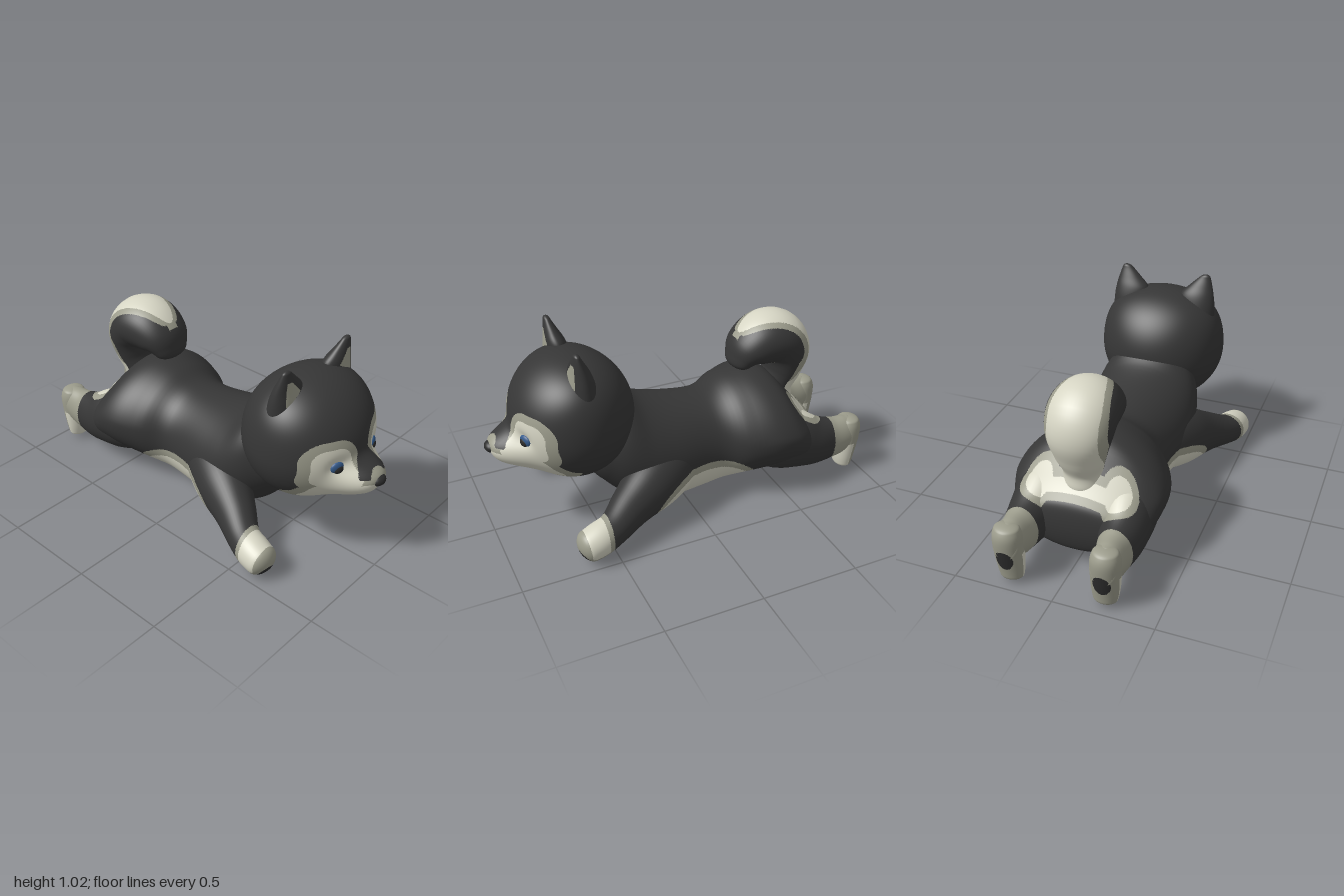
import * as THREE from 'three';
import { mergeVertices } from 'three/addons/utils/BufferGeometryUtils.js';

const flat = (name, color) => Object.assign(new THREE.MeshStandardMaterial({ color }), { name });
const coat = flat('charcoal coat', 0x363636);
const cream = flat('cream fur', 0xd6d5c4);
const grey = flat('grey fur edge', 0x9c9c8c);
const blue = flat('blue iris', 0x355a8a);
const black = flat('black nose and pads', 0x2c2c2c);
const palette = [coat, cream, grey, black];
const COAT = 0, CREAM = 1, GREY = 2, BLACK = 3;

// Sweeps an ellipse along a spline; each row is [x, y, z, half width, half depth].
// A fixed axis keeps all sections parallel.
function loft(rows, rings, sides, axis) {
  const path = new THREE.CatmullRomCurve3(rows.map(r => new THREE.Vector3(r[0], r[1], r[2])), false, 'catmullrom');
  const size = new THREE.CatmullRomCurve3(rows.map(r => new THREE.Vector3(r[3], r[4], 0)), false, 'catmullrom');
  const pos = [], index = [];
  for (let i = 0; i <= rings; i++) {
    const t = 0.5 - 0.5 * Math.cos(Math.PI * i / rings);
    const p = path.getPoint(t), r = size.getPoint(t), T = axis ?? path.getTangent(t);
    const S = new THREE.Vector3(1, 0, 0).addScaledVector(T, -T.x).normalize();
    const U = T.clone().cross(S);
    const e = Math.min(1, Math.min(t, 1 - t) / 0.08);
    const k = Math.sqrt(Math.max(0, 1 - (1 - e) ** 2)) + 1e-5;
    for (let j = 0; j < sides; j++) {
      const a = 2 * Math.PI * j / sides;
      const v = p.clone()
        .addScaledVector(S, Math.cos(a) * Math.max(r.x, 0) * k)
        .addScaledVector(U, Math.sin(a) * Math.max(r.y, 0) * k);
      pos.push(v.x, v.y, v.z);
      if (i < rings) {
        const A = i * sides + j, B = i * sides + (j + 1) % sides;
        index.push(A, B, A + sides, B, B + sides, A + sides);
      }
    }
  }
  const g = new THREE.BufferGeometry();
  g.setAttribute('position', new THREE.Float32BufferAttribute(pos, 3));
  g.setIndex(index);
  g.computeVertexNormals();
  return g;
}

// Sorts the triangles into one group per colour; rule(point, normal) returns a palette slot.
// Triangles on a colour border are split twice so the border stays smooth.
function painted(name, g, rule) {
  const bins = palette.map(() => ({ p: [], n: [] }));
  const corner = i => {
    const p = new THREE.Vector3().fromBufferAttribute(g.attributes.position, i);
    const n = new THREE.Vector3().fromBufferAttribute(g.attributes.normal, i);
    return { p, n, slot: rule(p, n) };
  };
  const middle = (...c) => {
    const p = new THREE.Vector3(), n = new THREE.Vector3();
    c.forEach(v => { p.addScaledVector(v.p, 1 / c.length); n.add(v.n); });
    n.normalize();
    return { p, n, slot: rule(p, n) };
  };
  const add = (a, b, c, depth) => {
    const same = a.slot === b.slot && b.slot === c.slot;
    if (!same && depth > 0) {
      const ab = middle(a, b), bc = middle(b, c), ca = middle(c, a);
      [[a, ab, ca], [ab, b, bc], [ca, bc, c], [ab, bc, ca]].forEach(t => add(...t, depth - 1));
      return;
    }
    const bin = bins[same ? a.slot : middle(a, b, c).slot];
    [a, b, c].forEach(v => { bin.p.push(...v.p.toArray()); bin.n.push(...v.n.toArray()); });
  };
  const idx = g.index.array;
  for (let i = 0; i < idx.length; i += 3) add(corner(idx[i]), corner(idx[i + 1]), corner(idx[i + 2]), 2);
  const out = new THREE.BufferGeometry();
  out.setAttribute('position', new THREE.Float32BufferAttribute(bins.flatMap(b => b.p), 3));
  out.setAttribute('normal', new THREE.Float32BufferAttribute(bins.flatMap(b => b.n), 3));
  let start = 0;
  bins.forEach(({ p }, m) => { if (p.length) out.addGroup(start, p.length / 3, m); start += p.length / 3; });
  const mesh = new THREE.Mesh(out, palette);
  mesh.name = name;
  return mesh;
}

// Signed distance to a rounded rectangle
function roundBox(x, y, cx, cy, hx, hy, r) {
  const dx = Math.abs(x - cx) - hx + r, dy = Math.abs(y - cy) - hy + r;
  return Math.hypot(Math.max(dx, 0), Math.max(dy, 0)) + Math.min(Math.max(dx, dy), 0) - r;
}
const bump = (x, y, sx, sy, power) => Math.exp(-(((x / sx) ** 2 + (y / sy) ** 2) ** power));

// Head: a sphere pulled out into a blunt muzzle, with shallow eye sockets and a broad crown
function makeHead() {
  let g = new THREE.SphereGeometry(1, 132, 92);
  g.deleteAttribute('uv');
  g.deleteAttribute('normal');
  g = mergeVertices(g);
  const P = g.attributes.position;
  for (let i = 0; i < P.count; i++) {
    const y = 0.6 + P.getY(i) * 0.32;
    const x = P.getX(i) * 0.338 * (1 + 0.25 * Math.max(0, P.getY(i)) ** 2);
    const fade = Math.min(1, Math.max(0, P.getZ(i) * 2));
    const z = 0.56 + P.getZ(i) * 0.31 + fade * (0.13 * bump(x, y - 0.475, 0.145, 0.1, 1.7)
      - 0.02 * bump(Math.abs(x) - 0.138, y - 0.58, 0.045, 0.04, 1));
    P.setXYZ(i, x, y, z);
  }
  g.computeVertexNormals();
  return painted('head', g, ({ x, y, z }) => {
    const ax = Math.abs(x), spot = Math.hypot(x, y - 0.5);
    if (z < 0.6) return COAT;
    const d = Math.min(roundBox(ax, y, 0.165, 0.58, 0.125, 0.137, 0.1),
      roundBox(ax, y, 0.125, 0.43, 0.14, 0.108, 0.09), roundBox(ax, y, 0, 0.44, 0.12, 0.1, 0.04));
    const bridge = y > 0.525 && ax < 0.035 + 0.6 * Math.max(0, 0.63 - y) && spot > 0.06;
    if (d > 0 && spot > 0.06 || bridge) return COAT;
    return d > -0.038 || (spot < 0.06 && y > 0.5) ? GREY : CREAM;
  });
}

// Markings shared by the body and the tops of the legs
function bodyMarks({ x, y, z }) {
  const ax = Math.abs(x);
  // rump patch below the tail
  const lobe = Math.min(Math.hypot(ax - 0.2, z + 0.66) - 0.095, Math.max(ax - 0.2, z + 0.62, -0.73 - z));
  if (y > 0.31 && lobe < 0) return lobe < -0.03 && y > 0.335 ? CREAM : GREY;
  // belly patch
  const top = 0.085 + 0.185 * Math.sqrt(Math.max(0, 1 - ((z + 0.05) / 0.31) ** 2));
  if (z < 0.27 && z > -0.62 && y < top) {
    return (y < top - 0.045 && z < 0.23) || (ax < 0.13 && y < 0.1 && z < 0.2) ? CREAM : GREY;
  }
  return COAT;
}

// Body: rows of z, bottom, top, half width, with haunches narrowing upward
function makeBody() {
  const rows = [[0.56, 0.3, 0.55, 0.14], [0.45, 0.2, 0.62, 0.21], [0.35, 0.1, 0.69, 0.27], [0.22, 0.04, 0.608, 0.295],
    [0.08, 0.002, 0.565, 0.29], [-0.1, 0.006, 0.542, 0.262], [-0.2, 0.025, 0.55, 0.27], [-0.3, 0.05, 0.595, 0.33],
    [-0.42, 0.068, 0.618, 0.375], [-0.52, 0.073, 0.595, 0.381], [-0.6, 0.08, 0.51, 0.365], [-0.67, 0.09, 0.425, 0.325],
    [-0.73, 0.1, 0.365, 0.27], [-0.765, 0.11, 0.335, 0.22]]
    .map(([z, lo, hi, w]) => [0, (lo + hi) / 2, z, w, (hi - lo) / 2]);
  const g = loft(rows, 90, 88, new THREE.Vector3(0, 0, -1)), P = g.attributes.position;
  for (let i = 0; i < P.count; i++) {
    const back = Math.min(1, Math.max(0, (-0.2 - P.getZ(i)) / 0.12));
    P.setX(i, P.getX(i) * (1 - 0.6 * back * Math.max(0, P.getY(i) - 0.36)));
  }
  g.computeVertexNormals();
  return painted('body', g, bodyMarks);
}

export function createModel() {
  const model = new THREE.Group();
  model.name = 'lyingPuppy';
  const ball = (name, mat, p, s, turn = 0) => {
    const m = new THREE.Mesh(new THREE.SphereGeometry(1, 28, 18), mat);
    m.name = name;
    m.position.set(...p);
    m.scale.set(...s);
    m.rotation.y = turn;
    model.add(m);
  };

  // Curled tail with a light stripe along its outer side
  const tail = [[-0.59, 0.34, 0.11, 0.11], [-0.595, 0.48, 0.1, 0.088], [-0.63, 0.59, 0.13, 0.1], [-0.637, 0.695, 0.16, 0.13],
    [-0.59, 0.773, 0.17, 0.14], [-0.5, 0.778, 0.165, 0.138], [-0.415, 0.742, 0.145, 0.108], [-0.372, 0.69, 0.11, 0.068],
    [-0.358, 0.635, 0.075, 0.042]].map(([z, y, a, b]) => [0, y, z, a, b]);
  model.add(painted('tail', loft(tail, 72, 56), (c, n) => {
    const ry = c.y - 0.68, rz = c.z + 0.5;
    const out = (n.y * ry + n.z * rz) / Math.hypot(ry, rz);
    const lim = 0.125 * Math.sqrt(Math.min(1, Math.max(0, (-0.36 - c.z) / 0.3)));
    if (c.z > -0.34 || out < 0.1) return COAT;
    return Math.abs(c.x) < lim ? CREAM : Math.abs(c.x) < lim + 0.03 ? GREY : COAT;
  }));

  model.add(makeBody(), makeHead());
  ball('nose', black, [0, 0.502, 0.966], [0.043, 0.028, 0.034]);

  for (const s of [1, -1]) {
    const side = s > 0 ? 'left' : 'right';
    const mirror = rows => rows.map(([x, ...rest]) => [x * s, ...rest]);

    // Eyes set into the sockets
    ball(side + 'Iris', blue, [s * 0.139, 0.577, 0.83], [0.035, 0.029, 0.015], s * 0.4);
    ball(side + 'Pupil', black, [s * 0.136, 0.568, 0.837], [0.026, 0.023, 0.014], s * 0.4);

    // Ears
    const ear = mirror([[0.19, 0.74, 0.55, 0.1, 0.07], [0.19, 0.8, 0.553, 0.098, 0.068], [0.187, 0.86, 0.557, 0.097, 0.06],
      [0.186, 0.91, 0.563, 0.09, 0.049], [0.202, 0.955, 0.573, 0.063, 0.034], [0.217, 0.995, 0.581, 0.036, 0.02],
      [0.226, 1.02, 0.584, 0.018, 0.012]]);
    model.add(painted(side + 'Ear', loft(ear, 44, 44, new THREE.Vector3(0, 1, 0)), (c, n) => {
      const ax = Math.abs(c.x);
      const inside = ax < 0.247 - 0.1 * (c.y - 0.845) && c.y < 0.965 && c.y < 0.9 + (ax - 0.15) * 1.15
        && c.y > 0.845 + (0.245 - ax) * 0.55;
      return n.z > 0 && inside ? GREY : COAT;
    }));

    // Front legs stretched forward and outward, soles tipped down
    const front = mirror([[0.1, 0.27, -0.04, 0.1, 0.13], [0.17, 0.255, 0.09, 0.13, 0.16], [0.235, 0.22, 0.23, 0.135, 0.155],
      [0.31, 0.175, 0.37, 0.105, 0.115], [0.385, 0.132, 0.49, 0.082, 0.087], [0.418, 0.108, 0.59, 0.085, 0.086],
      [0.432, 0.083, 0.692, 0.076, 0.075]]);
    model.add(painted(side + 'FrontLeg', loft(front, 50, 44), (c, n) => {
      if (c.z < 0.53) return bodyMarks(c);
      if (n.z > 0.2 && Math.hypot((Math.abs(c.x) - 0.43) / 0.046, (c.y - 0.053) / 0.034) < 1) return BLACK;
      return c.z < 0.555 || n.z > 0.4 || n.y < -0.5 ? GREY : CREAM;
    }));

    // Hind legs stretched back, feet turned down
    const hind = mirror([[0.2, 0.29, -0.42, 0.12, 0.16], [0.215, 0.265, -0.56, 0.14, 0.17], [0.232, 0.223, -0.7, 0.115, 0.142],
      [0.237, 0.212, -0.82, 0.086, 0.121], [0.24, 0.225, -0.91, 0.075, 0.106], [0.24, 0.245, -0.98, 0.062, 0.085]]);
    model.add(painted(side + 'HindLeg', loft(hind, 48, 44), c => (c.z < -0.805 ? GREY : bodyMarks(c))));
    const foot = mirror([[0.242, 0.325, -0.93, 0.055, 0.045], [0.242, 0.27, -0.93, 0.072, 0.069],
      [0.24, 0.18, -0.925, 0.073, 0.067], [0.237, 0.09, -0.92, 0.068, 0.056], [0.235, 0.013, -0.922, 0.055, 0.042]]);
    model.add(painted(side + 'HindFoot', loft(foot, 40, 40), (c, n) => {
      if (n.z < -0.4 && Math.hypot((Math.abs(c.x) - 0.24) / 0.044, (c.y - 0.155) / 0.056) < 1) return BLACK;
      return c.y < 0.18 && n.z > -0.2 ? CREAM : GREY;
    }));
  }
  return model;
}
